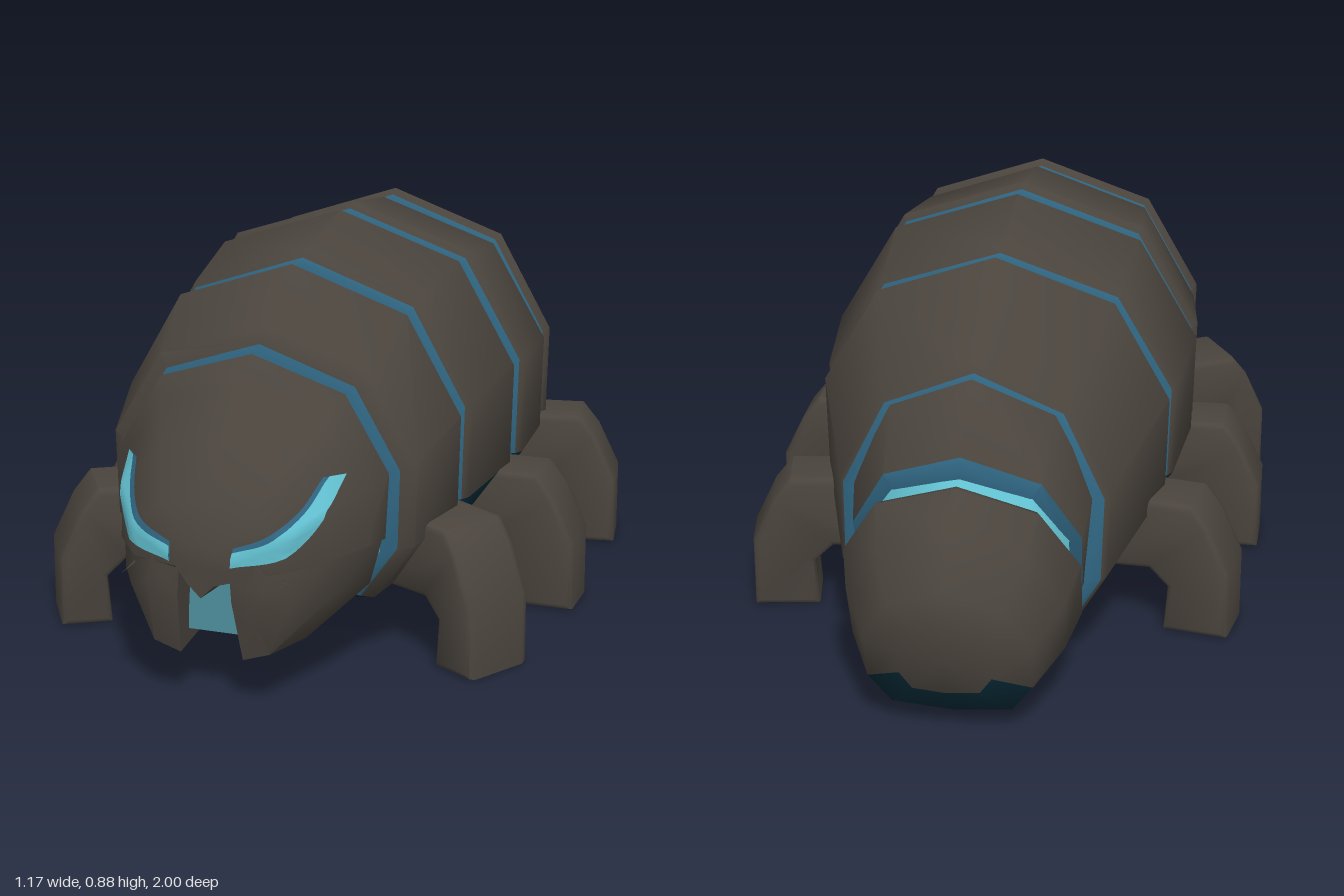
import * as THREE from 'three';
import { toCreasedNormals } from 'three/addons/utils/BufferGeometryUtils.js';

const material = (name, color) => {
  const m = new THREE.MeshStandardMaterial({ color });
  m.name = name;
  return m;
};

// Unit half cross-section of the body, from the ridge to the belly centre
const PROFILE = [[0, 1], [0.68, 0.87], [1, 0.56], [0.985, 0.25], [0.72, 0.04], [0, 0]];
const SHELL = 0, RIM = 1, BELLY = 2, GLOW = 3;

// Closes a half section by mirroring it in x
const mirrorHalf = (half) => [
  ...half,
  ...half.slice(1, -1).reverse().map(([x, y, z]) => [-x, y, z]),
];

// Body cross-section; zBot differs from zTop when the section leans
const ring = (w, top, bot, zTop, zBot = zTop) => mirrorHalf(PROFILE.map(([px, py]) =>
  [px * w, bot + py * (top - bot), zBot + (zTop - zBot) * py]));

// Same section moved in z and shrunk by d
const shifted = ([w, top, bot, zt, zb = zt], dz, d) =>
  ring(w - d, top - d, bot + d * 0.3, zt + dz, zb + dz);

// Skins closed rings given front to back; paint(i, band) picks a material index,
// with i = -1 for the front cap and i = rings.length - 1 for the back cap
function loft(rings, paint, crease = 0.85) {
  const buckets = [[], [], [], []];
  const n = rings[0].length;
  const last = rings.length - 1;
  const add = (m, ...pts) => pts.forEach((p) => buckets[m].push(...p));
  const band = (j) => Math.min(j, n - 1 - j);
  for (let i = 0; i < last; i++) {
    for (let j = 0; j < n; j++) {
      const k = (j + 1) % n;
      const [a, b, c, d] = [rings[i][j], rings[i][k], rings[i + 1][j], rings[i + 1][k]];
      add(paint(i, band(j)), a, b, c, b, d, c);
    }
  }
  for (const [r, i] of [[rings[0], -1], [rings[last], last]]) {
    const mid = [0, 1, 2].map((q) => r.reduce((s, p) => s + p[q], 0) / n);
    r.forEach((p, j) => {
      const next = r[(j + 1) % n];
      add(paint(i, band(j)), mid, ...(i < 0 ? [next, p] : [p, next]));
    });
  }
  const geo = new THREE.BufferGeometry();
  geo.setAttribute('position', new THREE.Float32BufferAttribute(buckets.flat(), 3));
  let start = 0;
  buckets.forEach((b, m) => {
    if (b.length) geo.addGroup(start, b.length / 3, m);
    start += b.length / 3;
  });
  return toCreasedNormals(geo, crease);
}

export function createModel() {
  const model = new THREE.Group();
  model.name = 'armouredCrawler';
  const shell = material('shell brown', 0x4a443d);
  const rim = material('groove blue', 0x2f6480);
  const belly = material('belly dark teal', 0x062835);
  const glow = material('glow cyan', 0x62c0d0);
  const lining = material('mouth teal', 0x4f8f9e);
  const mats = [shell, rim, belly, glow];
  const add = (name, geo, mat = mats) => {
    const mesh = new THREE.Mesh(geo, mat);
    mesh.name = name;
    model.add(mesh);
    return mesh;
  };

  // Armour plates with rounded edges and sloping blue walls:
  // front and back [width, top, bottom, zTop, zBottom], lowest shell band, front rounding
  const plate = (name, f, b, lowBand, round = 0.012) => {
    const rings = [
      shifted(f, 0, round + 0.035), shifted(f, -0.011, round), shifted(f, -0.032, 0),
      shifted(b, 0.032, 0), shifted(b, 0.011, 0.012), shifted(b, 0, 0.047),
    ];
    const wall = (i) => i <= 0 || i >= 4;
    add(name, loft(rings, (i, band) => (band > lowBand ? BELLY : wall(i) ? RIM : SHELL)));
  };
  plate('shoulderPlate', [0.35, 0.742, 0.13, 0.645], [0.39, 0.835, 0.13, 0.398], 3, 0.033);
  plate('frontBackPlate', [0.39, 0.845, 0.13, 0.372], [0.42, 0.885, 0.13, 0.078], 2);
  plate('rearBackPlate', [0.425, 0.885, 0.13, 0.052], [0.405, 0.845, 0.13, -0.242], 2);
  plate('hipPlate', [0.395, 0.848, 0.125, -0.268], [0.3, 0.705, 0.08, -0.602, -0.65], 3);

  // Wedge collar between hips and tail
  const collar = [
    [0.245, 0.66, 0.13, -0.6, -0.57], [0.265, 0.69, 0.12, -0.618, -0.575],
    [0.25, 0.575, 0.11, -0.765, -0.605], [0.21, 0.53, 0.13, -0.777, -0.615],
  ].map((s) => ring(...s));
  add('tailCollar', loft(collar, (i, band) => (band > 3 ? BELLY : i === 1 ? SHELL : RIM)));

  // Glowing core seen in the grooves
  const core = [
    [0.27, 0.655, 0.15, 0.68], [0.285, 0.68, 0.14, 0.63], [0.36, 0.8, 0.135, 0.385],
    [0.388, 0.85, 0.135, 0.065], [0.37, 0.81, 0.135, -0.255],
    [0.24, 0.64, 0.13, -0.62], [0.215, 0.5, 0.13, -0.82, -0.66],
  ].map((s) => ring(...s));
  add('glowingCore', loft(core, (i, band) => (band <= 3 ? GLOW : BELLY)));

  // Tail, leaning backward, with a dark underside
  const tail = [
    [0.215, 0.495, 0.11, -0.8, -0.638], [0.245, 0.53, 0.09, -0.812, -0.648],
    [0.258, 0.535, 0.085, -0.832, -0.667], [0.235, 0.475, 0.06, -0.905, -0.775],
    [0.18, 0.37, 0.04, -0.985, -0.89], [0.1, 0.31, 0.12, -1, -0.96],
  ].map((s) => ring(...s));
  add('tail', loft(tail, (i, band) => {
    if (i === 5) return SHELL;
    if (band === 4 || (i === 4 && band === 3)) return BELLY;
    return i <= 0 ? RIM : SHELL;
  }, 0.95));

  // Skull with a pointed beak
  const skullHalf = [
    [0.985, [[0, 0.37], [0.035, 0.362], [0.058, 0.345], [0.055, 0.325], [0.03, 0.29], [0, 0.26]]],
    [0.945, [[0, 0.465], [0.1, 0.445], [0.165, 0.39], [0.165, 0.32], [0.055, 0.3], [0, 0.27]]],
    [0.85, [[0, 0.57], [0.14, 0.53], [0.23, 0.43], [0.235, 0.32], [0.055, 0.31], [0, 0.3]]],
    [0.74, [[0, 0.655], [0.185, 0.595], [0.28, 0.455], [0.28, 0.32], [0.055, 0.31], [0, 0.3]]],
    [0.68, [[0, 0.7], [0.21, 0.632], [0.308, 0.465], [0.3, 0.32], [0.055, 0.31], [0, 0.3]]],
    [0.665, [[0, 0.69], [0.203, 0.623], [0.298, 0.46], [0.293, 0.32], [0.055, 0.31], [0, 0.3]]],
    [0.655, [[0, 0.66], [0.18, 0.6], [0.275, 0.45], [0.27, 0.32], [0.055, 0.31], [0, 0.3]]],
  ];
  const skull = add('skull', loft(
    skullHalf.map(([z, pts]) => mirrorHalf(pts.map(([x, y]) => [x, y, z]))),
    (i) => (i >= 5 ? RIM : SHELL), 0.9));

  // Jaws on both sides of the mouth slot
  const jaw = [
    [0.965, [[0.055, 0.33], [0.115, 0.335], [0.13, 0.28], [0.1, 0.235], [0.06, 0.25]]],
    [0.93, [[0.055, 0.34], [0.165, 0.335], [0.18, 0.25], [0.13, 0.13], [0.07, 0.11]]],
    [0.82, [[0.055, 0.34], [0.24, 0.335], [0.24, 0.24], [0.17, 0.13], [0.07, 0.12]]],
    [0.67, [[0.055, 0.34], [0.295, 0.335], [0.262, 0.21], [0.18, 0.14], [0.07, 0.13]]],
  ].map(([z, pts]) => pts.map(([x, y]) => [x, y, z]));
  const flip = (r) => r.map(([x, y, z]) => [-x, y, z]).reverse();
  const jawPaint = (i) => (i === 3 ? RIM : SHELL);
  add('leftJaw', loft(jaw, jawPaint));
  add('rightJaw', loft(jaw.map(flip), jawPaint));

  // Mouth lining
  const mouth = add('mouth', new THREE.BoxGeometry(0.13, 0.17, 0.008), lining);
  mouth.position.set(0, 0.235, 0.89);

  // Eyes: curved glowing slits with a blue edge, laid on the skull surface
  const curve = (pts) => new THREE.CatmullRomCurve3(pts.map(([x, y]) => new THREE.Vector3(x, y, 0)));
  const upper = curve([[0.215, 0.49], [0.19, 0.432], [0.138, 0.386], [0.068, 0.365]]);
  const lower = curve([[0.24, 0.487], [0.222, 0.42], [0.167, 0.355], [0.064, 0.336]]);
  const caster = new THREE.Raycaster();
  skull.updateMatrixWorld(true);
  const onSkull = (p, lift) => {
    caster.set(new THREE.Vector3(p.x, p.y, 2), new THREE.Vector3(0, 0, -1));
    const hit = caster.intersectObject(skull)[0];
    return hit.point.addScaledVector(hit.face.normal, lift);
  };
  const ACROSS = 5, ALONG = 18;
  const slit = (name, side, pad, lift, mat) => {
    const geo = new THREE.PlaneGeometry(1, 1, ACROSS, ALONG);
    const pos = geo.attributes.position;
    for (let i = 0; i < pos.count; i++) {
      const t = Math.floor(i / (ACROSS + 1)) / ALONG;
      const u = (i % (ACROSS + 1)) / ACROSS;
      const across = (side > 0 ? u : 1 - u) * (1 + pad) - pad;
      const p = onSkull(upper.getPoint(t).lerp(lower.getPoint(t), across), lift);
      pos.setXYZ(i, p.x * side, p.y, p.z);
    }
    geo.computeVertexNormals();
    add(name, geo, mat);
  };
  for (const side of [1, -1]) {
    const word = side > 0 ? 'left' : 'right';
    slit(word + 'EyeEdge', side, 0.3, 0.004, rim);
    slit(word + 'Eye', side, 0, 0.008, glow);

    // Thin whisker beside the jaw
    const whisker = add(word + 'Whisker', new THREE.ConeGeometry(0.004, 0.09, 4), shell);
    whisker.rotation.x = Math.PI / 2;
    whisker.position.set(0.17 * side, 0.3, 0.955);
  }
  rim.side = glow.side = THREE.DoubleSide;

  // Legs: bent profile with the foot's inner edge at a given reach, thick in z, turned outward
  const legGeometry = (inner, thick) => {
    const shape = new THREE.Shape([[-0.08, 0.14], [inner - 0.035, 0.15], [inner + 0.008, 0.11],
      [inner, 0], [0.255, 0], [0.255, 0.165], [0.205, 0.27], [0.165, 0.32], [-0.08, 0.32]]
      .map(([x, y]) => new THREE.Vector2(x, y)));
    return toCreasedNormals(new THREE.ExtrudeGeometry(shape, {
      depth: thick - 0.036, bevelEnabled: true, bevelThickness: 0.018, bevelSize: 0.014,
      bevelOffset: -0.014, bevelSegments: 2,
    }).translate(0, 0, 0.018 - thick / 2), 0.9);
  };
  for (const [name, x, z, turn, inner, thick] of [
    ['frontLeg', 0.305, 0.44, -0.54, 0.14, 0.175],
    ['middleLeg', 0.33, 0.112, 0, 0.07, 0.148],
    ['rearLeg', 0.308, -0.313, 0.17, 0.105, 0.15],
  ]) {
    const geo = legGeometry(inner, thick);
    for (const side of [1, -1]) {
      const leg = add(name, geo, shell);
      leg.position.set(x * side, 0, z);
      leg.rotation.y = side > 0 ? turn : Math.PI - turn;
    }
  }
  return model;
}
